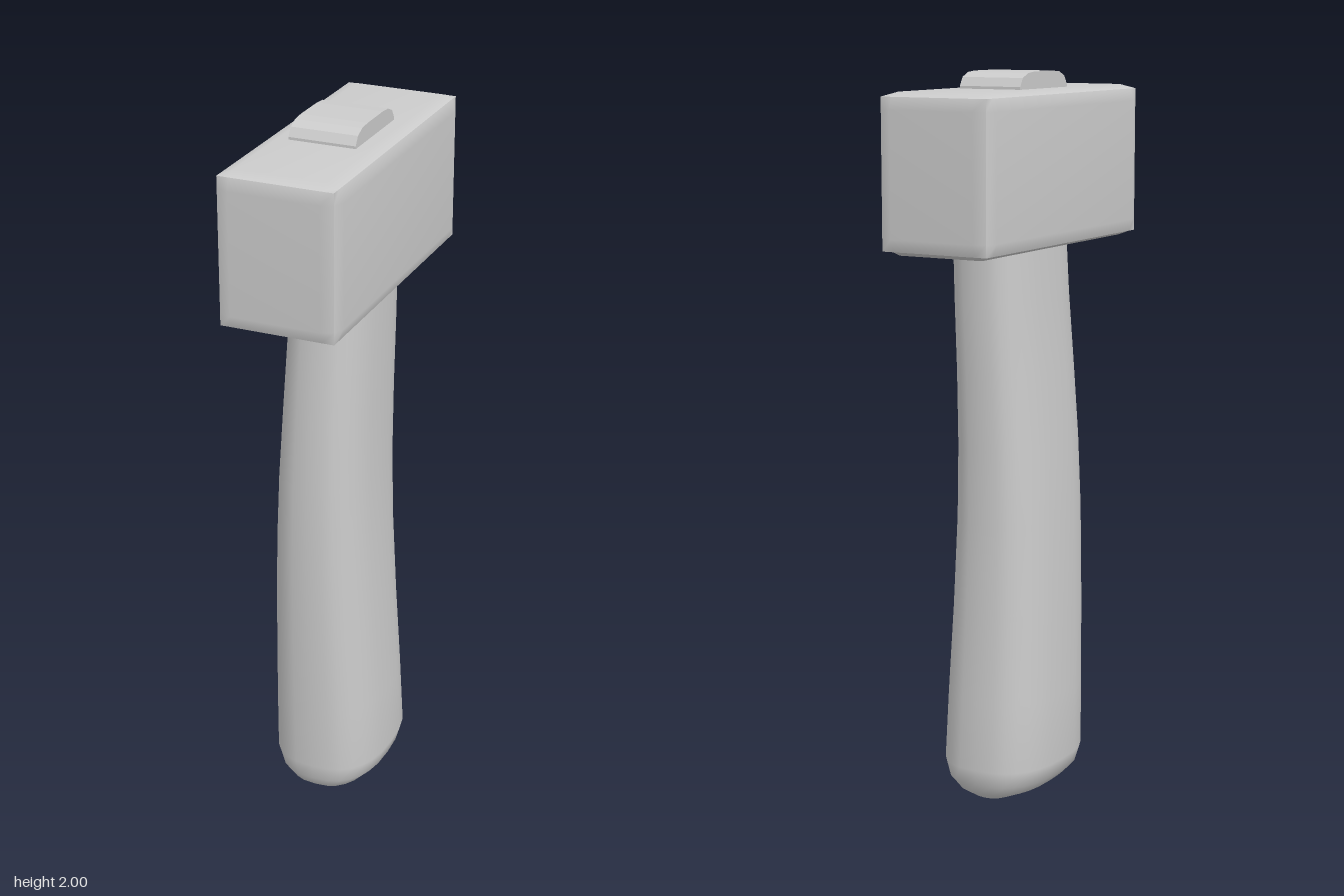
import * as THREE from 'three';

const material = new THREE.MeshStandardMaterial({ color: 0xcccccc });

function part(name, geometry) {
  const mesh = new THREE.Mesh(geometry, material);
  mesh.name = name;
  return mesh;
}

// Box with softly pulled-in edges, each side shaded smoothly on its own
function softBox(half, inset, pull) {
  const geo = new THREE.BoxGeometry(2, 2, 2, 3, 3, 3);
  const pos = geo.attributes.position;
  for (let i = 0; i < pos.count; i++) {
    const v = [pos.getX(i), pos.getY(i), pos.getZ(i)];
    const atEnd = v.map((c) => Math.abs(c) > 0.9);
    const ends = atEnd.filter(Boolean).length;
    const p = v.map((c, k) =>
      Math.sign(c) * (half[k] - (atEnd[k] ? (ends > 1 ? pull : 0) : inset)));
    pos.setXYZ(i, ...p);
  }
  geo.computeVertexNormals();
  return geo;
}

// Loft of superellipse rings: [y, xMin, xMax, zMin, zMax]
function loft(rings, sides, power) {
  const points = [];
  const index = [];
  const bend = (c) => Math.sign(c) * Math.pow(Math.abs(c), 2 / power);
  rings.forEach(([y, x0, x1, z0, z1], r) => {
    for (let s = 0; s < sides; s++) {
      const t = (s / sides) * Math.PI * 2;
      points.push(
        (x0 + x1) / 2 + bend(Math.cos(t)) * (x1 - x0) / 2,
        y,
        (z0 + z1) / 2 + bend(Math.sin(t)) * (z1 - z0) / 2);
      if (r === 0) continue;
      const a = (r - 1) * sides + s;
      const b = (r - 1) * sides + (s + 1) % sides;
      index.push(a, a + sides, b, b, a + sides, b + sides);
    }
  });
  // Closing fan at the bottom
  const centre = points.length / 3;
  const [y, x0, x1, z0, z1] = rings[0];
  points.push((x0 + x1) / 2, y, (z0 + z1) / 2);
  for (let s = 0; s < sides; s++) index.push(centre, s, (s + 1) % sides);
  const geo = new THREE.BufferGeometry();
  geo.setAttribute('position', new THREE.Float32BufferAttribute(points, 3));
  geo.setIndex(index);
  geo.computeVertexNormals();
  return geo;
}

export function createModel() {
  const group = new THREE.Group();
  group.name = 'hammer';

  // Block head
  const head = part('head', softBox([0.168, 0.21, 0.42], 0.045, 0.012));
  head.position.y = 1.745;
  group.add(head);

  // Gently bowed handle, swelling towards a rounded butt
  group.add(part('handle', loft([
    [0.0, -0.03, 0.02, -0.14, 0.12],
    [0.012, -0.07, 0.06, -0.17, 0.145],
    [0.035, -0.125, 0.11, -0.205, 0.178],
    [0.065, -0.155, 0.14, -0.222, 0.193],
    [0.11, -0.17, 0.153, -0.23, 0.199],
    [0.3, -0.168, 0.145, -0.222, 0.202],
    [0.55, -0.163, 0.132, -0.21, 0.205],
    [0.8, -0.157, 0.12, -0.204, 0.205],
    [1.0, -0.148, 0.115, -0.204, 0.202],
    [1.2, -0.136, 0.114, -0.208, 0.194],
    [1.4, -0.125, 0.115, -0.214, 0.182],
    [1.62, -0.118, 0.115, -0.22, 0.17],
  ], 28, 2.6)));

  // Handle end showing through the top of the head
  const outline = [
    [-0.126, 1.9], [0.126, 1.9], [0.126, 1.962], [0.112, 1.985], [0.085, 1.997],
    [0.05, 2.0], [-0.05, 2.0], [-0.085, 1.997], [-0.112, 1.985], [-0.126, 1.962],
  ].map(([z, y]) => new THREE.Vector2(z, y));
  const tenon = new THREE.ExtrudeGeometry(new THREE.Shape(outline), {
    depth: 0.184, bevelEnabled: false,
  });
  tenon.translate(0, 0, -0.092);
  tenon.rotateY(Math.PI / 2);
  group.add(part('handleEnd', tenon));

  return group;
}
